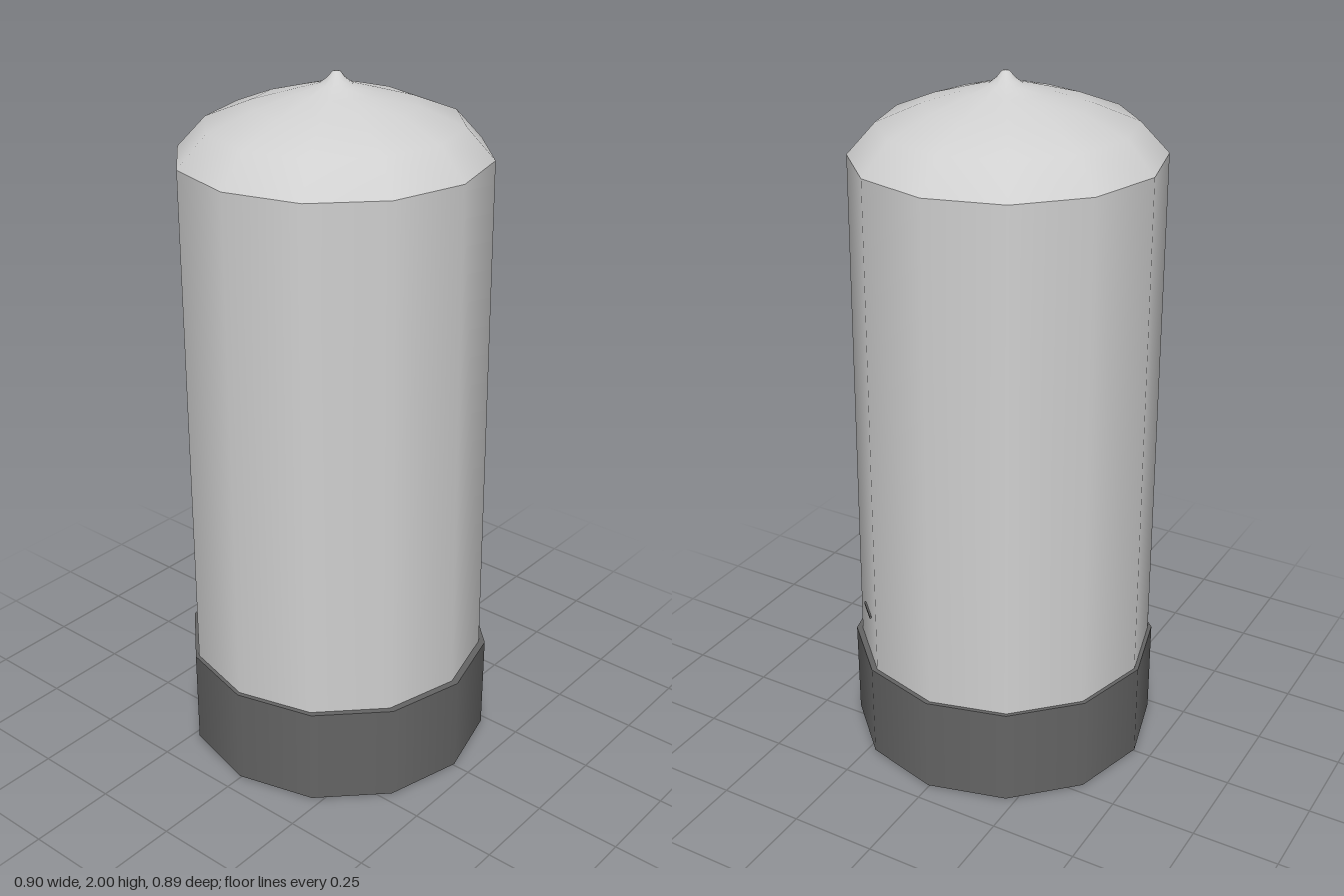
import * as THREE from 'three';

const SIDES = 12;

// Smooth twelve-sided shell from [radius, height] pairs, listed bottom to top
function lathe(name, pairs, material) {
  const points = pairs.map(([r, y]) => new THREE.Vector2(r, y));
  const mesh = new THREE.Mesh(new THREE.LatheGeometry(points, SIDES), material);
  mesh.name = name;
  return mesh;
}

// Moves x so the right wall leans in slightly towards the top
function lean(geometry) {
  const p = geometry.attributes.position;
  for (let i = 0; i < p.count; i++) {
    const t = THREE.MathUtils.clamp((p.getY(i) - 0.28) / 1.5, 0, 1);
    const rim = Math.min(1, Math.hypot(p.getX(i), p.getZ(i)) / 0.4);
    p.setX(i, p.getX(i) * (1 - 0.022 * t * rim) - 0.004 - 0.008 * t * rim);
  }
}

export function createModel() {
  const model = new THREE.Group();
  model.name = 'domedCanister';
  const shell = new THREE.MeshStandardMaterial({ color: 0xd0d0d0 });
  shell.name = 'light grey';
  const dark = new THREE.MeshStandardMaterial({ color: 0x646464 });
  dark.name = 'dark grey';

  // Dark base cup with flat floor and rim
  const base = new THREE.Mesh(new THREE.CylinderGeometry(0.446, 0.446, 0.29, SIDES), dark);
  base.name = 'baseCup';
  base.position.y = 0.15;
  base.scale.x = 1.008;
  const foot = new THREE.Mesh(new THREE.CylinderGeometry(0.446, 0.44, 0.005, SIDES), dark);
  foot.name = 'baseFloor';
  foot.position.y = 0.0025;
  model.add(base, foot);

  // Tall wall and shallow dome meeting at a sharp edge
  const wall = lathe('bodyWall', [[0.434, 0.28], [0.432, 1.78]], shell);
  const dome = lathe('domeTop', [
    [0.432, 1.78], [0.352, 1.865], [0.225, 1.915], [0.11, 1.948],
    [0.045, 1.966], [0.024, 1.982], [0.011, 1.998], [0, 2],
  ], shell);
  [wall, dome].forEach((mesh) => lean(mesh.geometry));
  model.add(wall, dome);

  // Small dark scuff low on the back of the wall
  const scuff = new THREE.Mesh(new THREE.BoxGeometry(0.08, 0.008, 0.006), dark);
  scuff.name = 'wallScuff';
  scuff.position.set(0.293, 0.43, -0.297);
  scuff.rotation.y = Math.PI * 0.75;
  model.add(scuff);

  return model;
}
